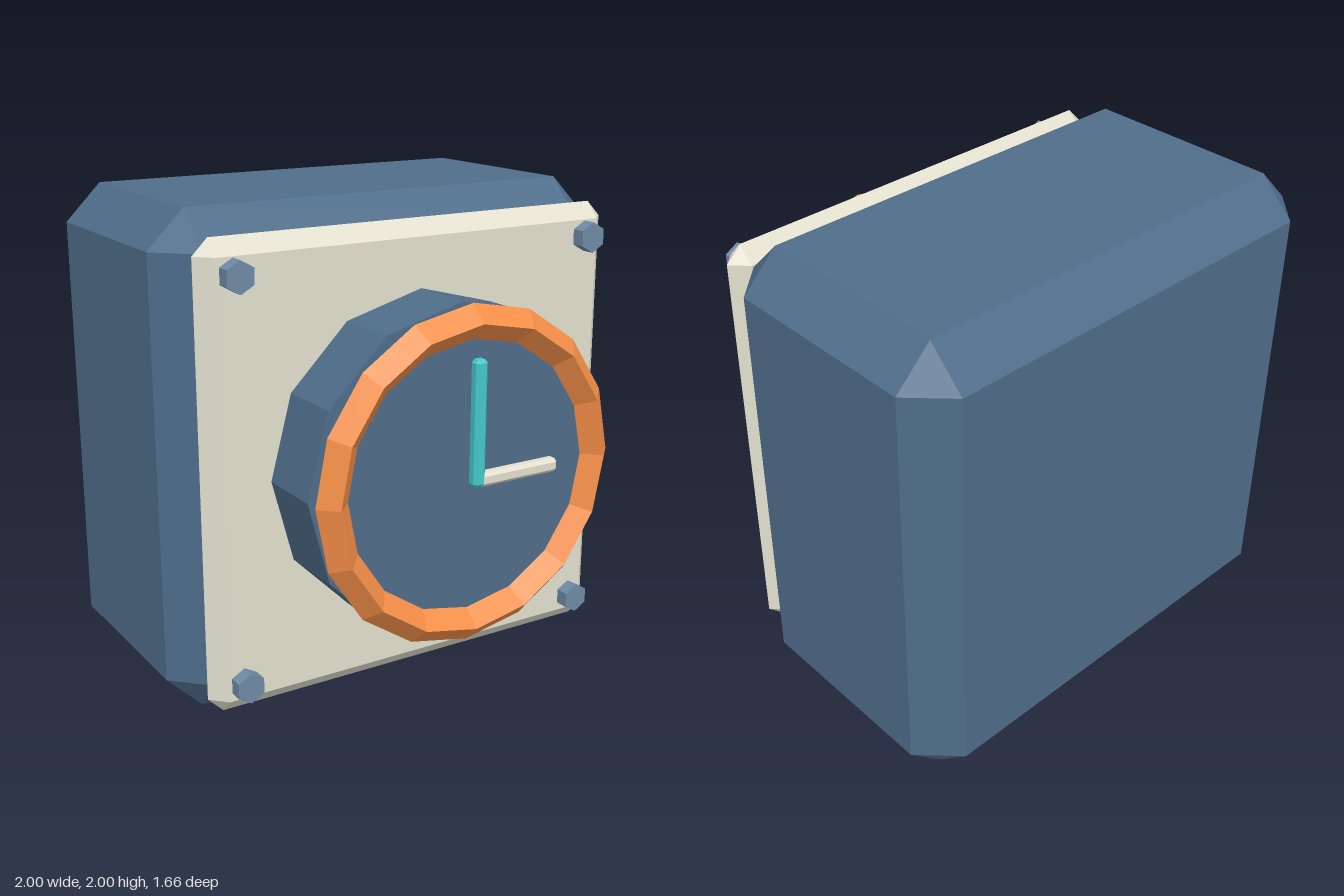
import * as THREE from 'three';
import { ConvexGeometry } from 'three/addons/geometries/ConvexGeometry.js';

const paint = (color) => new THREE.MeshStandardMaterial({ color, flatShading: true });

// Box whose edges are all cut at 45 degrees by c
function chamferBox(w, h, d, c) {
  const half = [w / 2, h / 2, d / 2];
  const points = [];
  for (const sx of [-1, 1]) for (const sy of [-1, 1]) for (const sz of [-1, 1]) {
    const sign = [sx, sy, sz];
    for (let face = 0; face < 3; face++) {
      points.push(new THREE.Vector3(...half.map((v, i) => sign[i] * (i === face ? v : v - c))));
    }
  }
  return new ConvexGeometry(points);
}

// Cylinder lying along z
const zCylinder = (r, depth, sides) =>
  new THREE.CylinderGeometry(r, r, depth, sides).rotateX(Math.PI / 2);

export function createModel() {
  const group = new THREE.Group();
  const blue = paint(0x4f6d8a);
  const steel = paint(0x6f8aa5);
  const cream = paint(0xe3e0cf);
  const orange = paint(0xf58f48);
  const teal = paint(0x45c8c8);

  function add(name, geometry, material, x, y, z) {
    const mesh = new THREE.Mesh(geometry, material);
    mesh.name = name;
    mesh.position.set(x, y, z);
    group.add(mesh);
    return mesh;
  }

  // Housing and front plate
  add('body', chamferBox(2, 2, 1.12, 0.15), blue, 0, 1, -0.272);
  add('frontPlate', chamferBox(1.844, 1.844, 0.128, 0.063), cream, 0, 1, 0.351);

  // Dial drum with its faceted rim
  add('dialDrum', zCylinder(0.661, 0.33, 12), blue, 0, 1, 0.525);
  add('dialRim', new THREE.TorusGeometry(0.6, 0.067, 4, 16), orange, 0, 1, 0.755);

  // Hands
  add('longHand', chamferBox(0.052, 0.49, 0.052, 0.013), teal, -0.005, 1.225, 0.807);
  add('shortHand', chamferBox(0.37, 0.055, 0.052, 0.013), cream, 0.18, 1.004, 0.803);

  // Hexagonal corner bolts
  const bolt = zCylinder(0.062, 0.08, 6);
  for (const sx of [-1, 1]) for (const sy of [-1, 1]) {
    add('cornerBolt', bolt, steel, sx * 0.794, 1 + sy * 0.793, 0.433);
  }
  return group;
}
